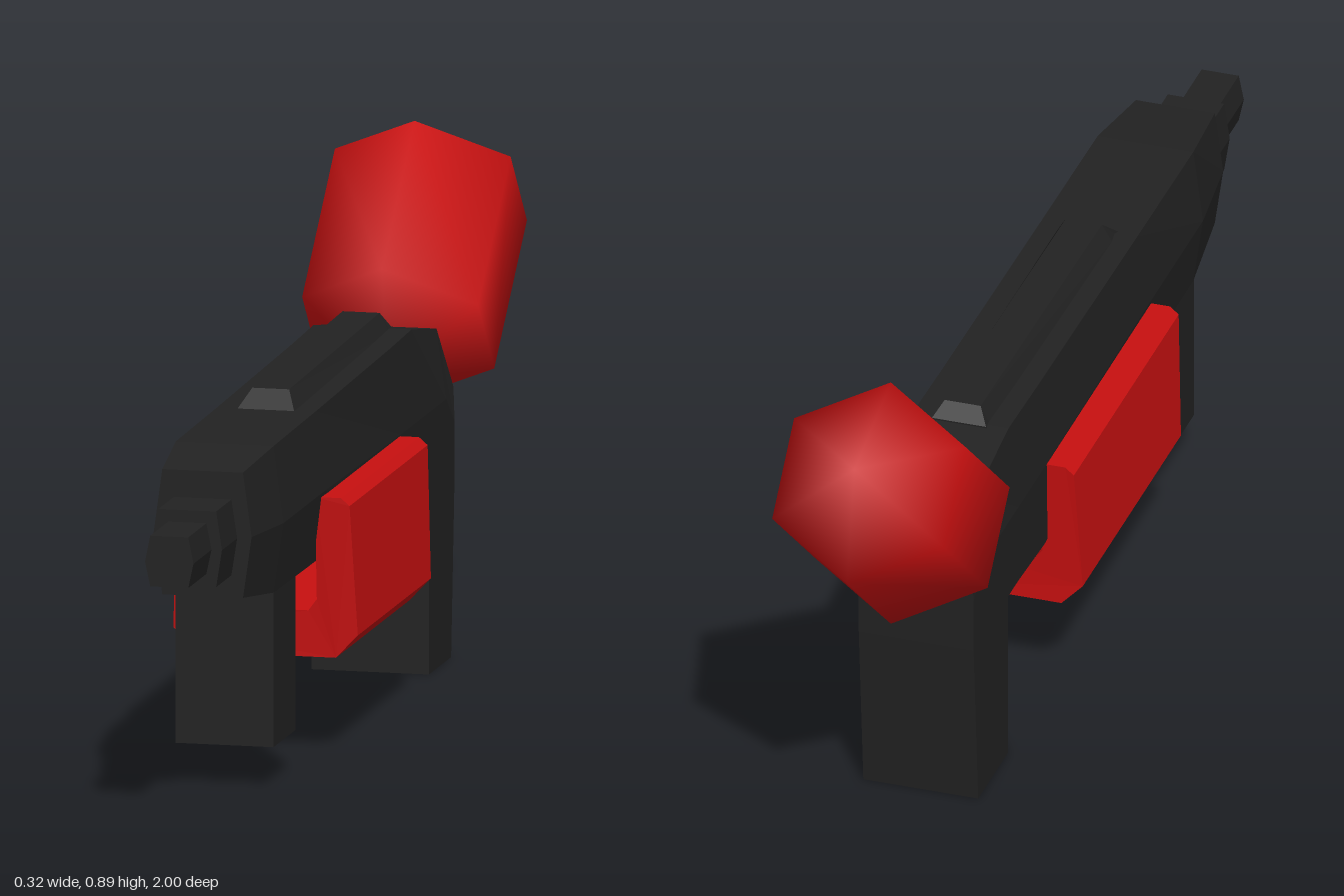
import * as THREE from 'three';
import { mergeVertices } from 'three/addons/utils/BufferGeometryUtils.js';

const black = new THREE.MeshStandardMaterial({ color: 0x222222, flatShading: true });
const red = new THREE.MeshStandardMaterial({ color: 0xc81010, flatShading: true });
const smoothRed = new THREE.MeshStandardMaterial({ color: 0xc81010 });

// Six-sided sections joined front to back: [z, bottom, middle, top, half widths at each]
function loft(sections) {
  const pos = [], index = [], last = (sections.length - 1) * 6;
  for (const [z, b, m, t, wb, wm, wt] of sections) {
    pos.push(-wb, b, z, wb, b, z, wm, m, z, wt, t, z, -wt, t, z, -wm, m, z);
  }
  for (let s = 0; s < last; s += 6) {
    for (let i = 0; i < 6; i++) {
      const a = s + i, b = s + (i + 1) % 6;
      index.push(a, a + 6, b, b, a + 6, b + 6);
    }
  }
  for (let i = 1; i < 5; i++) {
    index.push(0, i, i + 1, last, last + i + 1, last + i);
  }
  const g = new THREE.BufferGeometry();
  g.setAttribute('position', new THREE.Float32BufferAttribute(pos, 3));
  g.setIndex(index);
  g.computeVertexNormals();
  return g;
}

const shapeOf = (pts) => new THREE.Shape(pts.map(([x, y]) => new THREE.Vector2(x, y)));

export function createModel() {
  const model = new THREE.Group();
  const add = (name, geometry, material) => {
    const mesh = new THREE.Mesh(geometry, material);
    mesh.name = name;
    model.add(mesh);
    return mesh;
  };

  // Long body, tapered at the muzzle and sloping down at the back
  add('body', loft([
    [0.76, 0.355, 0.46, 0.57, 0.07, 0.085, 0.07],
    [0.6, 0.335, 0.455, 0.587, 0.085, 0.102, 0.085],
    [0.3, 0.333, 0.455, 0.59, 0.085, 0.102, 0.085],
    [-0.24, 0.295, 0.45, 0.598, 0.1, 0.102, 0.085],
    [-0.39, 0.306, 0.45, 0.602, 0.102, 0.102, 0.085],
    [-0.57, 0.306, 0.45, 0.57, 0.102, 0.102, 0.085],
    [-0.63, 0.304, 0.4, 0.46, 0.102, 0.102, 0.1],
  ]), black);

  // Stepped barrel
  add('barrelCollar', loft([0.87, 0.74].map((z) => [z, 0.393, 0.457, 0.523, 0.05, 0.06, 0.05])), black);
  add('barrel', loft([1, 0.86].map((z) => [z, 0.415, 0.457, 0.502, 0.033, 0.042, 0.033])), black);

  // Raised rail along the top
  add('topRail', loft([
    [0.305, 0.57, 0.58, 0.59, 0.05, 0.05, 0.049],
    [0.27, 0.57, 0.59, 0.62, 0.05, 0.05, 0.032],
    [-0.38, 0.57, 0.595, 0.63, 0.05, 0.05, 0.032],
    [-0.4, 0.57, 0.59, 0.603, 0.05, 0.05, 0.048],
  ]), black);

  // Grips
  const front = new THREE.BoxGeometry(0.17, 0.33, 0.158);
  front.translate(0, 0.235, 0.524);
  add('frontGrip', front, black);

  const rear = new THREE.ExtrudeGeometry(
    shapeOf([[-0.605, 0], [-0.445, 0], [-0.445, 0.31], [-0.63, 0.31]]),
    { depth: 0.204, bevelEnabled: false });
  rear.rotateY(-Math.PI / 2).translate(0.102, 0, 0);
  add('rearGrip', rear, black);

  // U-shaped guard wrapped around the underside, its ends narrowing downwards
  const half = [[0.122, 0.17], [0.16, 0.21], [0.15, 0.435], [0.135, 0.448],
    [0.09, 0.448], [0.09, 0.27], [0.075, 0.25]];
  const mirrored = half.map(([x, y]) => [-x, y]).reverse();
  const guard = new THREE.ExtrudeGeometry(shapeOf([...half, ...mirrored]), { depth: 2, bevelEnabled: false });
  guard.translate(0, 0, -1);
  const p = guard.attributes.position;
  for (let i = 0; i < p.count; i++) {
    const k = THREE.MathUtils.clamp((p.getY(i) - 0.21) / 0.225, 0, 1);
    p.setZ(i, 0.044 + p.getZ(i) * THREE.MathUtils.lerp(0.263, 0.281, k));
  }
  guard.computeVertexNormals();
  add('lowerGuard', guard, red);

  // Six-sided tank with pointed ends, smooth shaded, leaning back
  const profile = [[0, -0.263], [0.176, -0.158], [0.176, 0.158], [0, 0.263]]
    .map(([r, y]) => new THREE.Vector2(r, y));
  let tank = new THREE.LatheGeometry(profile, 6);
  tank.deleteAttribute('uv');
  tank.deleteAttribute('normal');
  tank = mergeVertices(tank, 1e-4);
  tank.computeVertexNormals();
  const tankMesh = add('rearTank', tank, smoothRed);
  tankMesh.position.set(0, 0.65, -0.765);
  tankMesh.rotation.x = -0.84;

  return model;
}
